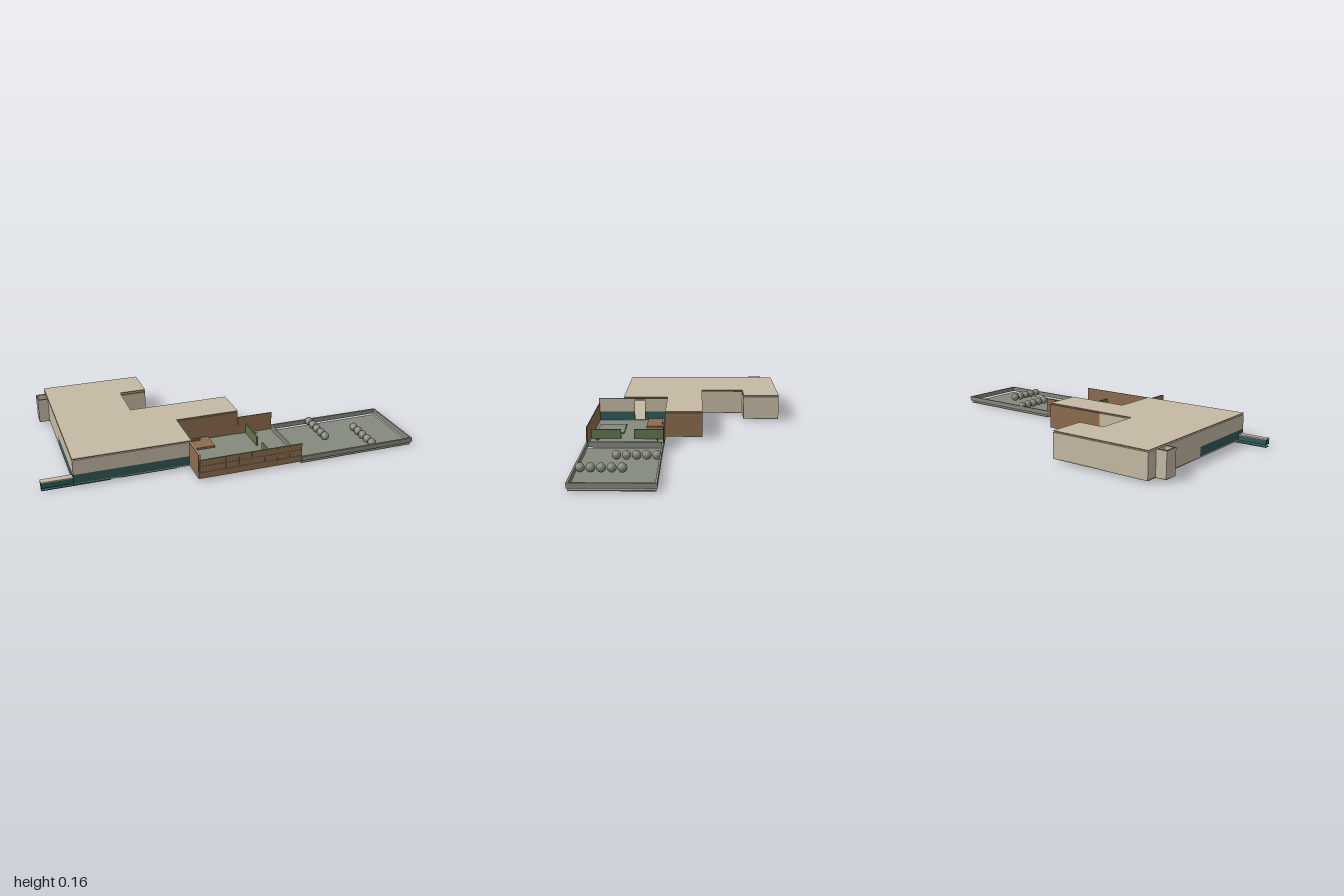
import * as THREE from 'three';

export function createModel() {
  const model = new THREE.Group();
  const mat = (name, color, side = THREE.FrontSide) => {
    const m = new THREE.MeshStandardMaterial({ color, side });
    m.name = name;
    return m;
  };
  const beige = mat('beige plaster', 0xc4b9a4);
  const brown = mat('brown timber', 0x8c6c4e);
  const grey = mat('grey green stone', 0x858a7d);
  const teal = mat('dark teal base', 0x2f5957);
  const green = mat('hedge green', 0x61744f);
  const leaf = mat('dark leaf green', 0x3c4c38, THREE.DoubleSide);

  const add = (name, geo, material, x = 0, y = 0, z = 0) => {
    const mesh = new THREE.Mesh(geo, material);
    mesh.name = name;
    mesh.position.set(x, y, z);
    model.add(mesh);
    return mesh;
  };
  // Box given by its limits on each axis
  const box = (name, m, x0, x1, y0, y1, z0, z1) =>
    add(name, new THREE.BoxGeometry(x1 - x0, y1 - y0, z1 - z0), m,
      (x0 + x1) / 2, (y0 + y1) / 2, (z0 + z1) / 2);
  // Flat slab from a plan outline of [x, z] points
  const slab = (name, m, outline, y0, y1) => {
    const shape = new THREE.Shape(outline.map(([x, z]) => new THREE.Vector2(x, -z)));
    const geo = new THREE.ExtrudeGeometry(shape, { depth: y1 - y0, bevelEnabled: false });
    return add(name, geo.rotateX(-Math.PI / 2), m, 0, y0, 0);
  };

  const Y0 = 0.014, BASE = 0.068, TOP = 0.148, FENCE = 0.118, T = 0.006;

  // House: thin roof raised a little above the ceiling
  const plan = [[-0.84, -0.54], [-0.28, -0.54], [-0.28, -0.33], [-0.43, -0.33], [-0.43, -0.08],
    [0.13, -0.08], [0.13, 0.125], [-0.225, 0.125], [-0.225, 0.385], [-0.84, 0.385]];
  slab('roof', beige, plan, 0.154, 0.157);
  const centre = new THREE.Vector2(-0.45, 0);
  slab('ceiling', brown, plan.map(([x, z]) =>
    [x + (centre.x - x) * 0.008, z + (centre.y - z) * 0.008]), 0.138, 0.147);

  // House floors
  box('livingFloor', beige, -0.84, -0.225, 0.012, 0.018, -0.08, 0.385);
  box('wingFloor', brown, -0.225, 0.13, 0.012, 0.018, -0.08, 0.125);
  box('backFloor', brown, -0.84, -0.43, 0.012, 0.018, -0.54, -0.08);
  box('backRoomFloor', grey, -0.43, -0.28, 0.012, 0.018, -0.54, -0.33);

  // Wall along x or z, with an optional teal base band
  const wallX = (name, m, x0, x1, z0, band) => {
    box(name, m, x0, x1, band ? BASE : Y0, TOP, z0, z0 + T);
    if (band) box(name + 'Base', teal, x0, x1, Y0, BASE, z0, z0 + T);
  };
  const wallZ = (name, m, z0, z1, x0, band) => {
    box(name, m, x0, x0 + T, band ? BASE : Y0, TOP, z0, z1);
    if (band) box(name + 'Base', teal, x0, x0 + T, Y0, BASE, z0, z1);
  };
  wallX('frontWall', beige, -0.84, -0.235, 0.385 - T, true);
  wallX('backWall', beige, -0.84, -0.28, -0.54);
  wallZ('sideWallFront', beige, -0.07, 0.385 - T, -0.84, true);
  wallZ('sideWallBack', beige, -0.54 + T, -0.07, -0.84);
  wallZ('backRoomSideWall', beige, -0.54 + T, -0.33 - T, -0.28 - T);
  wallX('backRoomFrontWall', beige, -0.43, -0.28, -0.33 - T);
  wallZ('courtSideWall', beige, -0.33, -0.08, -0.43 - T);
  wallX('courtWall', beige, -0.43, -0.22, -0.08, true);
  wallX('wingBackWall', brown, -0.22, 0.13, -0.08);
  wallX('wingFrontWall', brown, -0.225, 0.13, 0.125 - T);
  wallZ('wingEndWall', brown, -0.08 + T, 0.125 - T, 0.13 - T);

  // Wall facing the terrace, with a door opening
  wallZ('terraceWallBack', beige, 0.125, 0.26, -0.225 - T, true);
  wallZ('terraceWallFront', beige, 0.32, 0.53, -0.225 - T, true);
  box('doorLintel', brown, -0.23, -0.226, 0.135, TOP, 0.26, 0.32);
  box('screenWallOutside', brown, -0.236, -0.231, Y0, TOP, 0.385, 0.535);

  // Open chimney shaft
  const [cx0, cx1, cz0, cz1] = [-0.897, -0.84, -0.475, -0.395];
  box('chimneyBack', beige, cx0, cx1, Y0, TOP, cz0, cz0 + T);
  box('chimneyFront', beige, cx0, cx1, Y0, TOP, cz1 - T, cz1);
  box('chimneyOuter', beige, cx0, cx0 + T, Y0, TOP, cz0 + T, cz1 - T);
  box('chimneyLining', brown, cx0 + T, cx0 + 0.01, Y0, TOP, cz0 + T, cz1 - T);
  for (const z of [cz0, cz1 - 0.008]) box('chimneyRim', brown, cx0, cx1, TOP, TOP + 0.002, z, z + 0.008);
  box('chimneyRim', brown, cx0, cx0 + 0.008, TOP, TOP + 0.002, cz0 + 0.008, cz1 - 0.008);
  box('chimneyFloor', grey, cx0, cx1, 0.012, 0.018, cz0, cz1);

  // Low garden wall and sunken parts
  box('gardenWall', teal, -1, -0.84, Y0, 0.042, 0.337, 0.373);
  box('gardenWallCap', beige, -1, -0.84, 0.042, 0.047, 0.337, 0.373);
  box('gardenWallFooting', teal, -1, -0.65, 0, 0.003, 0.337, 0.373);
  box('sunkenStep', teal, -0.83, -0.65, 0.005, 0.012, 0.337, 0.373);
  box('sunkenPit', teal, -0.6, -0.3, 0.001, 0.012, 0.2, 0.37);

  // Terrace with deck and low platform
  box('terraceFloor', grey, -0.225, 0.335, 0.01, 0.015, 0.125, 0.53);
  box('deck', brown, -0.225, -0.045, 0.015, 0.026, 0.125, 0.24);
  box('deckBench', brown, -0.21, -0.1, 0.026, 0.034, 0.14, 0.155);
  box('platformEdge', brown, -0.113, 0.083, 0.015, 0.02, 0.358, 0.512);
  box('platform', grey, -0.11, 0.08, 0.02, 0.022, 0.361, 0.509);

  // Timber fences made of panels on a thin backing
  const fence = (x0, x1, z, cols, face) => {
    box('fenceBacking', brown, x0, x1, Y0, FENCE, z - 0.002, z + 0.002);
    const w = (x1 - x0) / cols, h = (FENCE - Y0) / 3;
    for (let i = 0; i < cols; i++) for (let j = 0; j < 3; j++) {
      const x = x0 + i * w, y = Y0 + j * h;
      box('fencePanel', brown, x + 0.001, x + w - 0.001, y + 0.001, y + h - 0.001,
        z + face * 0.002 - 0.002, z + face * 0.002 + 0.002);
    }
  };
  fence(-0.231, 0.333, 0.531, 8, 1);
  fence(0.13, 0.333, 0.127, 3, -1);

  // Hedges with a gap between them
  box('hedge', green, 0.176, 0.184, 0.015, 0.068, 0.13, 0.295);
  box('hedge', green, 0.176, 0.184, 0.015, 0.068, 0.365, 0.528);

  // Small star-shaped plants
  for (const z of [0.165, 0.49]) {
    const star = new THREE.Shape();
    for (let i = 0; i < 8; i++) {
      const r = i % 2 ? 0.007 : 0.019, a = i * Math.PI / 4;
      star[i ? 'lineTo' : 'moveTo'](r * Math.cos(a), r * Math.sin(a));
    }
    add('plant', new THREE.ShapeGeometry(star).rotateX(-Math.PI / 2), leaf, 0.22, 0.022, z);
    add('plantStem', new THREE.CylinderGeometry(0.003, 0.003, 0.008, 5), leaf, 0.22, 0.018, z);
  }

  // Lawn with a raised kerb
  box('lawn', grey, 0.333, 0.995, 0, 0.003, 0.13, 0.53);
  for (const z of [0.125, 0.525]) box('kerb', grey, 0.335, 1, Y0, 0.04, z, z + 0.01);
  for (const x of [0.33, 0.99]) box('kerb', grey, x, x + 0.01, Y0, 0.04, 0.135, 0.525);

  // Two rows of round shrubs
  const shrub = new THREE.SphereGeometry(0.024, 8, 6);
  for (const [x, z0] of [[0.56, 0.15], [0.765, 0.303]])
    for (let i = 0; i < 5; i++) add('shrub', shrub, grey, x, 0.037, z0 + i * 0.0505);

  return model;
}
